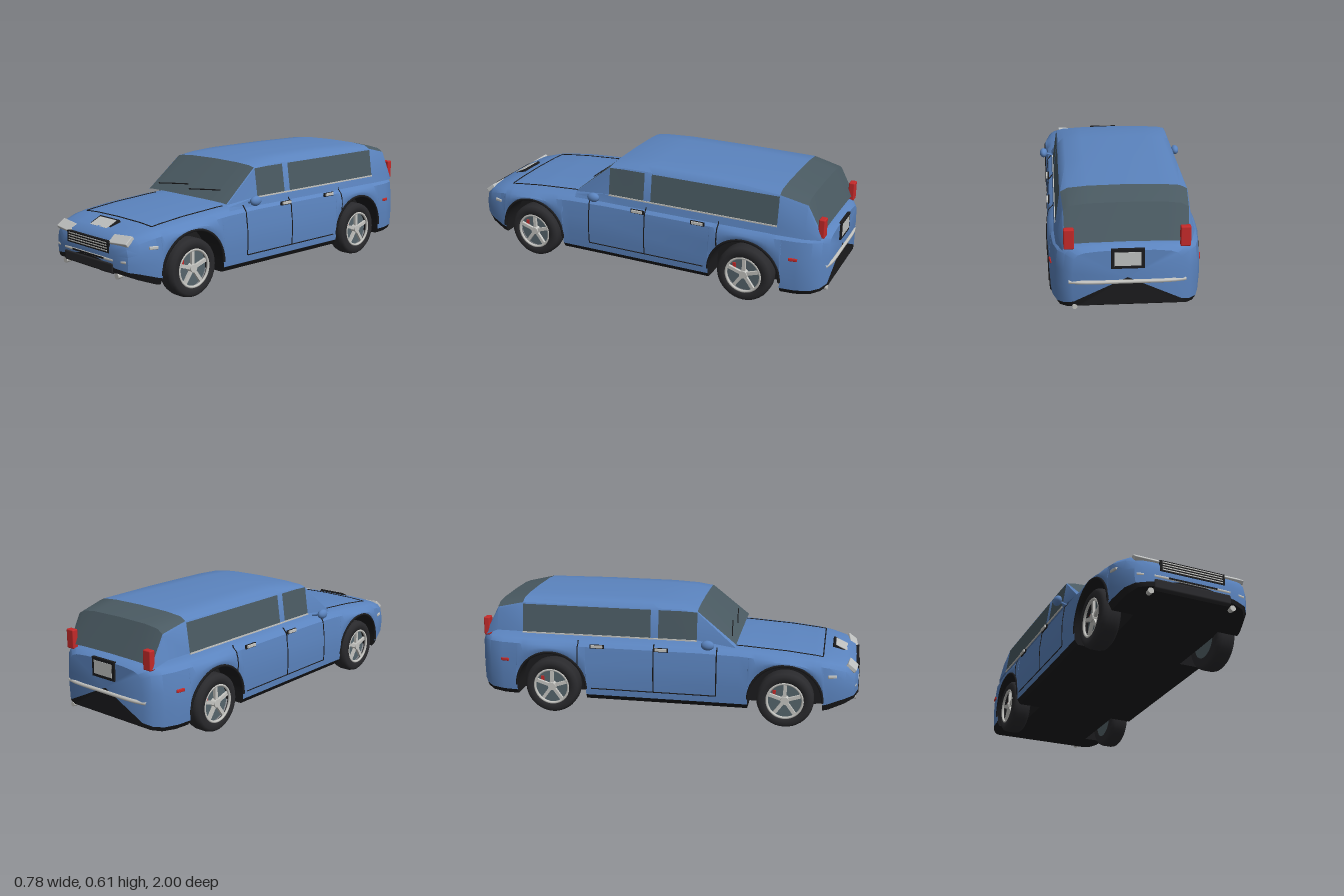
import * as THREE from 'three';
import { toCreasedNormals } from 'three/addons/utils/BufferGeometryUtils.js';
import { RoundedBoxGeometry } from 'three/addons/geometries/RoundedBoxGeometry.js';

const mat = (name, color, side = THREE.FrontSide) => {
  const m = new THREE.MeshStandardMaterial({ color, side });
  m.name = name;
  return m;
};
const M = {
  paint: mat('blue paint', 0x5b84bf),
  glass: mat('tinted glass', 0x4a5a62, THREE.DoubleSide),
  black: mat('black trim', 0x1b1b1d, THREE.DoubleSide),
  tyre: mat('tyre rubber', 0x2a2a2d),
  chrome: mat('chrome', 0xc6c6c2),
  rim: mat('rim grey', 0x56656c),
  lamp: mat('lamp white', 0xbfc1c0),
  red: mat('lamp red', 0xc42a2a),
};
const WHEEL_Z = [0.634, -0.585], WHEEL_Y = 0.145, ARCH = 0.188;

// Body stations: z, half width, top height, paint bottom, floor height
const STATIONS = [
  [0.995, 0.22, 0.285, 0.185, 0.165], [0.975, 0.285, 0.32, 0.175, 0.155],
  [0.93, 0.32, 0.345, 0.165, 0.135], [0.85, 0.345, 0.365, 0.14, 0.105],
  [0.78, 0.354, 0.375, 0.12, 0.092], [0.634, 0.361, 0.39, 0.115, 0.09],
  [0.4, 0.358, 0.405, 0.115, 0.09], [0.2, 0.357, 0.41, 0.115, 0.09],
  [-0.4, 0.357, 0.41, 0.115, 0.09], [-0.7, 0.358, 0.41, 0.115, 0.09],
  [-0.85, 0.345, 0.41, 0.115, 0.09], [-0.92, 0.325, 0.41, 0.118, 0.095],
  [-0.96, 0.29, 0.407, 0.125, 0.105], [-0.985, 0.25, 0.39, 0.14, 0.12],
];
const lerp = THREE.MathUtils.lerp;

function station(z) {
  let i = 0;
  while (i < STATIONS.length - 2 && z < STATIONS[i + 1][0]) i++;
  const a = STATIONS[i], b = STATIONS[i + 1];
  const t = THREE.MathUtils.clamp((z - a[0]) / (b[0] - a[0]), 0, 1);
  return a.map((v, k) => lerp(v, b[k], t));
}

// Half outline from the top centre down the side, round the wheel well to the floor
function bodyHalf(z) {
  const [, W, T, L, F] = station(z);
  let arch = 0;
  for (const c of WHEEL_Z) {
    const d = Math.abs(z - c);
    if (d <= ARCH + 1e-6) arch = WHEEL_Y + Math.sqrt(Math.max(0, ARCH * ARCH - d * d));
  }
  const yb = Math.max(L, arch), ys = T - 0.04, edge = Math.max(F, arch), inner = Math.min(0.22, W * 0.85);
  return [
    [0, T], [0.5 * W, T - 0.003], [0.78 * W, T - 0.01], [0.9 * W, T - 0.02], [0.965 * W, ys],
    [0.995 * W, lerp(ys, yb, 0.33)], [W, lerp(ys, yb, 0.66)], [0.985 * W, yb],
    [0.94 * W, edge], [inner, edge], [inner, F], [0, F],
  ];
}
// Surface lookups for placing details
function hoodY(x, z) {
  const p = bodyHalf(z), ax = Math.abs(x);
  for (let i = 0; i < 4; i++)
    if (ax <= p[i + 1][0]) return lerp(p[i][1], p[i + 1][1], (ax - p[i][0]) / (p[i + 1][0] - p[i][0]));
  return p[4][1];
}
function sideX(y, z) {
  const p = bodyHalf(z);
  for (let i = 3; i < 7; i++)
    if (y <= p[i][1] && y >= p[i + 1][1])
      return lerp(p[i][0], p[i + 1][0], (p[i][1] - y) / (p[i][1] - p[i + 1][1] || 1));
  return y > p[3][1] ? p[3][0] : p[7][0];
}

// Lofts mirrored half outlines (front to back); key(i, j) picks each cell's material
function loft(parent, name, sections, key, caps, crease) {
  const n = sections[0].pts.length, R = 2 * n - 2, pos = [], idx = {};
  for (const { z, pts } of sections) {
    const ring = [...pts, ...pts.slice(1, -1).reverse().map(([x, y]) => [-x, y])];
    for (const [x, y] of ring) pos.push(x, y, z);
  }
  const half = j => (j < n - 1 ? j : R - 1 - j);
  const add = (k, ...v) => k && (idx[k] ||= []).push(...v);
  for (let i = 0; i < sections.length - 1; i++)
    for (let j = 0; j < R; j++) {
      const a = i * R + j, b = i * R + (j + 1) % R;
      add(key(i, half(j)), a, b, b + R, a, b + R, a + R);
    }
  if (caps)
    for (const i of [0, sections.length - 1]) {
      const s = sections[i], c = pos.length / 3;
      pos.push(0, (s.pts[0][1] + s.pts[n - 1][1]) / 2, s.z);
      for (let j = 0; j < R; j++) {
        const a = i * R + j, b = i * R + (j + 1) % R;
        add(key(i, half(j)), c, ...(i ? [a, b] : [b, a]));
      }
    }
  for (const k in idx) {
    const g = new THREE.BufferGeometry();
    g.setAttribute('position', new THREE.Float32BufferAttribute(pos, 3));
    g.setIndex(idx[k]);
    mesh(parent, `${name} ${k}`, toCreasedNormals(g, crease), M[k]);
  }
}

function mesh(parent, name, geo, material, p = [0, 0, 0], r = [0, 0, 0]) {
  const m = new THREE.Mesh(geo, material);
  m.name = name;
  m.position.set(...p);
  m.rotation.set(...r);
  parent.add(m);
  return m;
}
const box = (parent, name, s, material, p, r) => mesh(parent, name, new THREE.BoxGeometry(...s), material, p, r);
function tube(parent, name, pts, radius, material) {
  const c = new THREE.CatmullRomCurve3(pts.map(p => new THREE.Vector3(...p)));
  return mesh(parent, name, new THREE.TubeGeometry(c, pts.length * 4, radius, 6), material);
}
const steps = (a, b, n, f) => Array.from({ length: n + 1 }, (_, i) => f(lerp(a, b, i / n)));

function makeWheel() {
  const g = new THREE.Group();
  const axis = [0, 0, -Math.PI / 2];
  const prof = [[0.09, -0.05], [0.128, -0.05], [0.141, -0.038], [0.145, -0.022], [0.145, 0.022],
    [0.141, 0.038], [0.128, 0.05], [0.097, 0.05], [0.092, 0.03]].map(p => new THREE.Vector2(...p));
  mesh(g, 'tyre', new THREE.LatheGeometry(prof, 40), M.tyre, [0, 0, 0], axis);
  mesh(g, 'rimDish', new THREE.CylinderGeometry(0.094, 0.094, 0.065, 32), M.rim, [-0.012, 0, 0], axis);
  mesh(g, 'rimRing', new THREE.TorusGeometry(0.091, 0.007, 8, 40), M.chrome, [0.044, 0, 0], [0, Math.PI / 2, 0]);
  mesh(g, 'hub', new THREE.CylinderGeometry(0.02, 0.024, 0.026, 16), M.chrome, [0.034, 0, 0], axis);
  for (let i = 0; i < 5; i++) {
    const spoke = new THREE.Group();
    spoke.rotation.x = i * Math.PI * 0.4;
    box(spoke, 'spoke', [0.014, 0.075, 0.017], M.chrome, [0.034, 0.053, 0]);
    g.add(spoke);
  }
  box(g, 'brakeCaliper', [0.008, 0.035, 0.016], M.red, [0.023, 0.03, 0.055]);
  return g;
}

export function createModel() {
  const car = new THREE.Group();
  car.name = 'estateCar';

  // Lower body with wheel wells
  const zs = STATIONS.map(s => s[0]);
  for (const c of WHEEL_Z) {
    for (let i = 0; i <= 24; i++) zs.push(c + ARCH * Math.cos(i * Math.PI / 24));
    zs.push(c + ARCH + 0.0005, c - ARCH - 0.0005);
  }
  zs.sort((a, b) => b - a);
  loft(car, 'body', zs.map(z => ({ z, pts: bodyHalf(z) })), (i, j) => (j < 7 ? 'paint' : 'black'), true, 0.6);

  // Cabin: windscreen, roof, side windows and rear glass
  const mid = (z, T) => ({ z, pts: [[0, T], [0.17, T - 0.003], [0.26, T - 0.011], [0.293, 0.58], [0.297, 0.573], [0.318, 0.43], [0.327, 0.385]] });
  const front = { z: 0.38, pts: [[0, 0.418], [0.17, 0.418], [0.27, 0.416], [0.302, 0.413], [0.306, 0.41], [0.318, 0.4], [0.327, 0.38]] };
  const lip = { z: 0.18, pts: [[0, 0.59], [0.17, 0.587], [0.26, 0.581], [0.291, 0.574], [0.297, 0.57], [0.318, 0.43], [0.327, 0.385]] };
  const brow = { z: -0.88, pts: [[0, 0.578], [0.17, 0.575], [0.25, 0.566], [0.283, 0.547], [0.289, 0.535], [0.313, 0.43], [0.32, 0.385]] };
  const tail = { z: -0.953, pts: [[0, 0.418], [0.17, 0.416], [0.25, 0.413], [0.28, 0.41], [0.283, 0.405], [0.287, 0.395], [0.29, 0.38]] };
  const cabin = [front, lip, mid(0.1, 0.605), mid(-0.02, 0.611), mid(-0.06, 0.612), mid(-0.4, 0.613), mid(-0.74, 0.608), brow, tail];
  loft(car, 'cabin', cabin, (i, j) => {
    if (j === 6) return null;
    if ((i === 0 || i >= 6) && j < 3) return 'glass';
    return j === 4 && i >= 1 && i <= 5 && i !== 3 ? 'glass' : 'paint';
  }, false, 0.5);

  // Bonnet seam and wipers
  const seam = (x, z) => [x, hoodY(x, z) + 0.001, z];
  tube(car, 'bonnetSeamFront', steps(-0.26, 0.26, 10, x => seam(x, 0.815)), 0.003, M.black);
  for (const s of [-0.26, 0.26])
    tube(car, 'bonnetSeamSide', steps(0.37, 0.815, 10, z => seam(s, z)), 0.003, M.black);
  for (const x of [-0.255, -0.01])
    tube(car, 'wiper', [[x, 0.447, 0.353], [x + 0.11, 0.457, 0.341], [x + 0.215, 0.466, 0.33]], 0.003, M.black);

  // Nose: grille, bumper, plate
  box(car, 'grilleFrame', [0.335, 0.056, 0.03], M.black, [0, 0.278, 0.983]);
  for (let i = 0; i < 4; i++)
    box(car, 'grilleBar', [0.31, 0.005, 0.006], M.chrome, [0, 0.26 + i * 0.0125, 0.997]);
  tube(car, 'frontBumperStrip', [[-0.275, 0.22, 0.972], [-0.2, 0.22, 0.986], [0, 0.22, 0.989], [0.2, 0.22, 0.986], [0.275, 0.22, 0.972]], 0.01, M.chrome);
  box(car, 'frontBumperInset', [0.25, 0.008, 0.006], M.black, [0, 0.22, 0.997]);
  mesh(car, 'frontBumperPad', new RoundedBoxGeometry(0.395, 0.052, 0.034, 3, 0.01), M.tyre, [0, 0.181, 0.982]);
  box(car, 'frontPlateFrame', [0.155, 0.014, 0.088], M.black, [0, 0.348, 0.9], [0.45, 0, 0]);
  box(car, 'frontPlate', [0.13, 0.006, 0.066], M.lamp, [0, 0.3544, 0.903], [0.45, 0, 0]);

  // Tail: plate, bumper strip, exhaust
  box(car, 'rearPlateFrame', [0.15, 0.095, 0.014], M.black, [0, 0.35, -0.987]);
  box(car, 'rearPlate', [0.12, 0.066, 0.006], M.lamp, [0, 0.35, -0.993]);
  tube(car, 'rearBumperStrip', [[-0.265, 0.235, -0.974], [-0.2, 0.235, -0.986], [0, 0.235, -0.988], [0.2, 0.235, -0.986], [0.265, 0.235, -0.974]], 0.01, M.chrome);
  mesh(car, 'exhaustPipe', new THREE.CylinderGeometry(0.012, 0.012, 0.09, 14), M.chrome, [0.24, 0.115, -0.942], [Math.PI / 2, 0, 0]);

  // Mirrored parts
  for (const s of [1, -1]) {
    mesh(car, 'headlight', new RoundedBoxGeometry(0.125, 0.022, 0.055, 2, 0.004), M.lamp, [s * 0.217, 0.312, 0.961], [0.65, s * 0.1, 0]);
    mesh(car, 'fogLight', new THREE.CylinderGeometry(0.015, 0.012, 0.03, 14), M.chrome, [s * 0.21, 0.146, 0.972], [Math.PI / 2, 0, 0]);
    mesh(car, 'tailLamp', new RoundedBoxGeometry(0.048, 0.096, 0.032, 2, 0.006), M.red, [s * 0.262, 0.438, -0.95]);
    mesh(car, 'frontMarker', new RoundedBoxGeometry(0.012, 0.016, 0.045, 2, 0.004), M.lamp, [s * sideX(0.283, 0.865), 0.283, 0.865], [0, s * -0.25, 0]);
    mesh(car, 'rearMarker', new RoundedBoxGeometry(0.012, 0.016, 0.045, 2, 0.004), M.red, [s * sideX(0.28, -0.835), 0.28, -0.835], [0, s * 0.15, 0]);
    box(car, 'windowTrim', [0.006, 0.007, 0.92], M.chrome, [s * 0.319, 0.427, -0.28]);

    // Door seams and handles
    for (const [z, y0] of [[0.285, 0.15], [-0.04, 0.15], [-0.44, 0.275]])
      tube(car, 'doorSeam', steps(y0, 0.4, 8, y => [s * sideX(y, z), y, z]), 0.003, M.black);
    tube(car, 'doorSeamBottom', steps(0.285, -0.37, 4, z => [s * sideX(0.15, z), 0.15, z]), 0.003, M.black);
    for (const z of [0, -0.335]) {
      box(car, 'handleRecess', [0.008, 0.02, 0.075], M.black, [s * 0.346, 0.376, z]);
      box(car, 'doorHandle', [0.014, 0.013, 0.06], M.chrome, [s * 0.351, 0.378, z]);
    }

    // Door mirror
    const head = mesh(car, 'mirror', new THREE.SphereGeometry(1, 20, 14), M.paint, [s * 0.37, 0.422, 0.243]);
    head.scale.set(0.021, 0.025, 0.034);
    tube(car, 'mirrorArm', [[s * 0.305, 0.404, 0.243], [s * 0.33, 0.41, 0.243], [s * 0.36, 0.42, 0.243]], 0.006, M.paint);

    // Wheels and arch lips
    for (const z of WHEEL_Z) {
      const wheel = makeWheel();
      wheel.name = z > 0 ? 'frontWheel' : 'rearWheel';
      wheel.position.set(s * 0.302, WHEEL_Y, z);
      if (s < 0) wheel.rotation.y = Math.PI;
      car.add(wheel);
      const lip = steps(0, Math.PI, 18, a => {
        const lz = z + ARCH * Math.cos(a);
        return [s * (bodyHalf(lz)[7][0] + 0.003), WHEEL_Y + ARCH * Math.sin(a), lz];
      });
      tube(car, 'archLip', lip, 0.007, M.black);
    }
  }
  return car;
}
